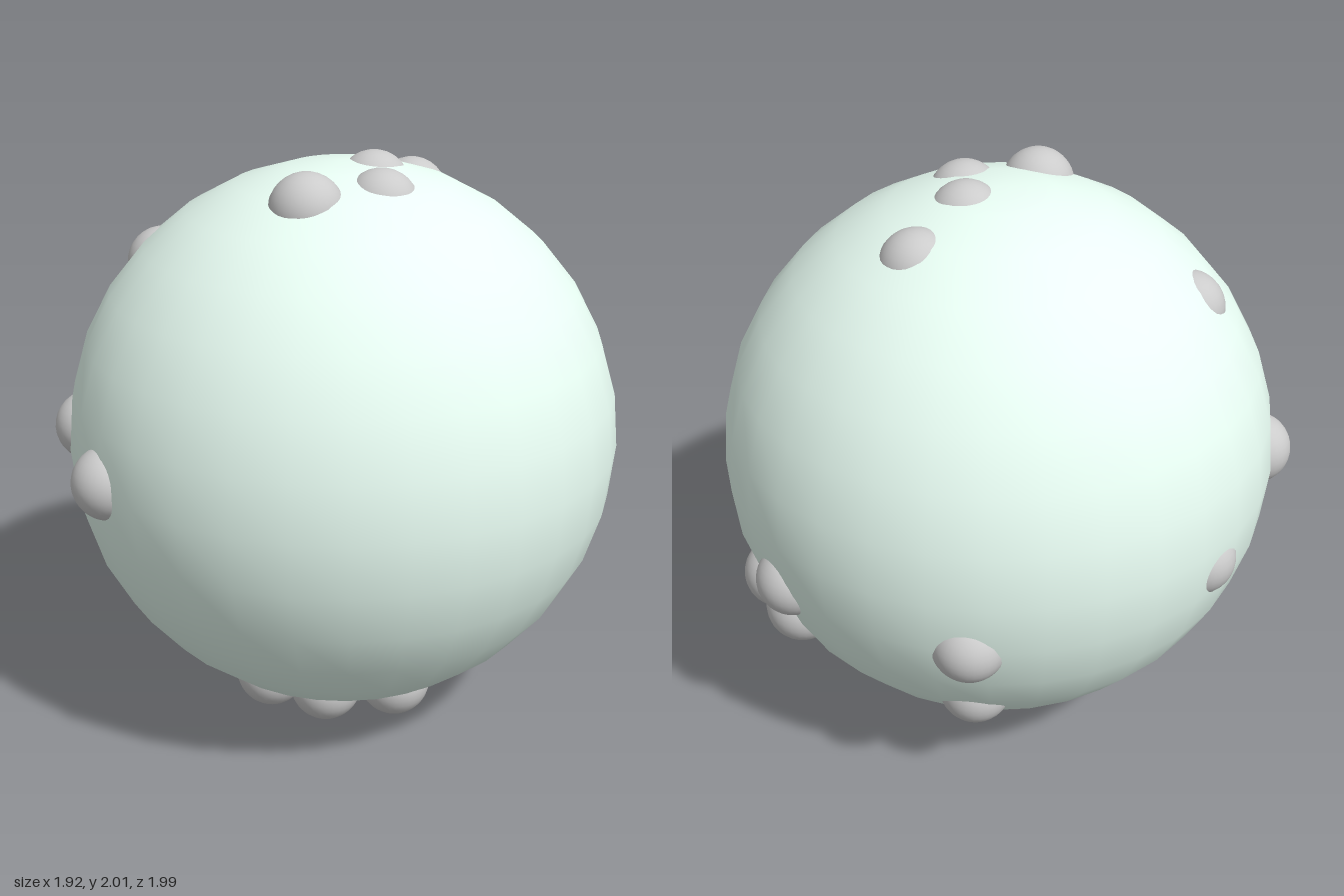
import * as THREE from 'three';

const CENTRE = new THREE.Vector3(0, 1.02, -0.01);
const SHELL_RADIUS = 0.957;
const BALL_RADIUS = 0.125;

// Each ball: direction from the centre (x, y, z), then its distance from the centre
const BALLS = [
  // front and left-hand side
  [-0.23, 0.0, 0.93, 0.9], [-0.705, 0.005, 0.645, 0.9],
  [-0.56, 0.65, 0.41, 0.857], [-0.945, -0.13, 0.13, 0.855],
  // top
  [0.115, 0.9, 0.30, 0.9], [0.235, 0.925, 0.05, 0.867],
  [0.06, 0.945, -0.1, 0.865], [0, 0.87, -0.38, 0.864],
  // back
  [0.585, -0.26, -0.71, 0.862], [0.302, -0.374, -0.826, 0.9],
  [0.079, -0.225, -0.924, 0.89], [0.124, -0.405, -0.857, 0.9],
  [-0.608, -0.226, -0.7, 0.885], [-0.475, -0.615, -0.557, 0.88],
  [-0.468, -0.757, -0.35, 0.838],
  // underside
  [0.303, -0.847, -0.326, 0.9], [-0.031, -0.866, -0.403, 0.868],
  [0.412, -0.847, 0.157, 0.9], [0.248, -0.853, 0.353, 0.9],
  [0.064, -0.954, 0, 0.895], [-0.06, -0.953, 0.019, 0.9],
  [0.02, -0.86, 0.41, 0.9], [-0.3, -0.84, 0.34, 0.9],
];

export function createModel() {
  const model = new THREE.Group();
  model.name = 'ballFilledSphere';

  // Large pale shell
  const shell = new THREE.Mesh(
    new THREE.SphereGeometry(SHELL_RADIUS, 32, 16),
    new THREE.MeshStandardMaterial({ color: 0xeafff5 })
  );
  shell.name = 'shell';
  shell.position.copy(CENTRE);
  model.add(shell);

  // Small balls pushing through the shell
  const balls = new THREE.Group();
  balls.name = 'balls';
  const geometry = new THREE.SphereGeometry(BALL_RADIUS, 32, 16);
  const material = new THREE.MeshStandardMaterial({ color: 0xcccccc });
  BALLS.forEach(([x, y, z, distance], i) => {
    const ball = new THREE.Mesh(geometry, material);
    ball.name = `ball${i + 1}`;
    ball.position.set(x, y, z).setLength(distance).add(CENTRE);
    balls.add(ball);
  });
  model.add(balls);

  return model;
}
